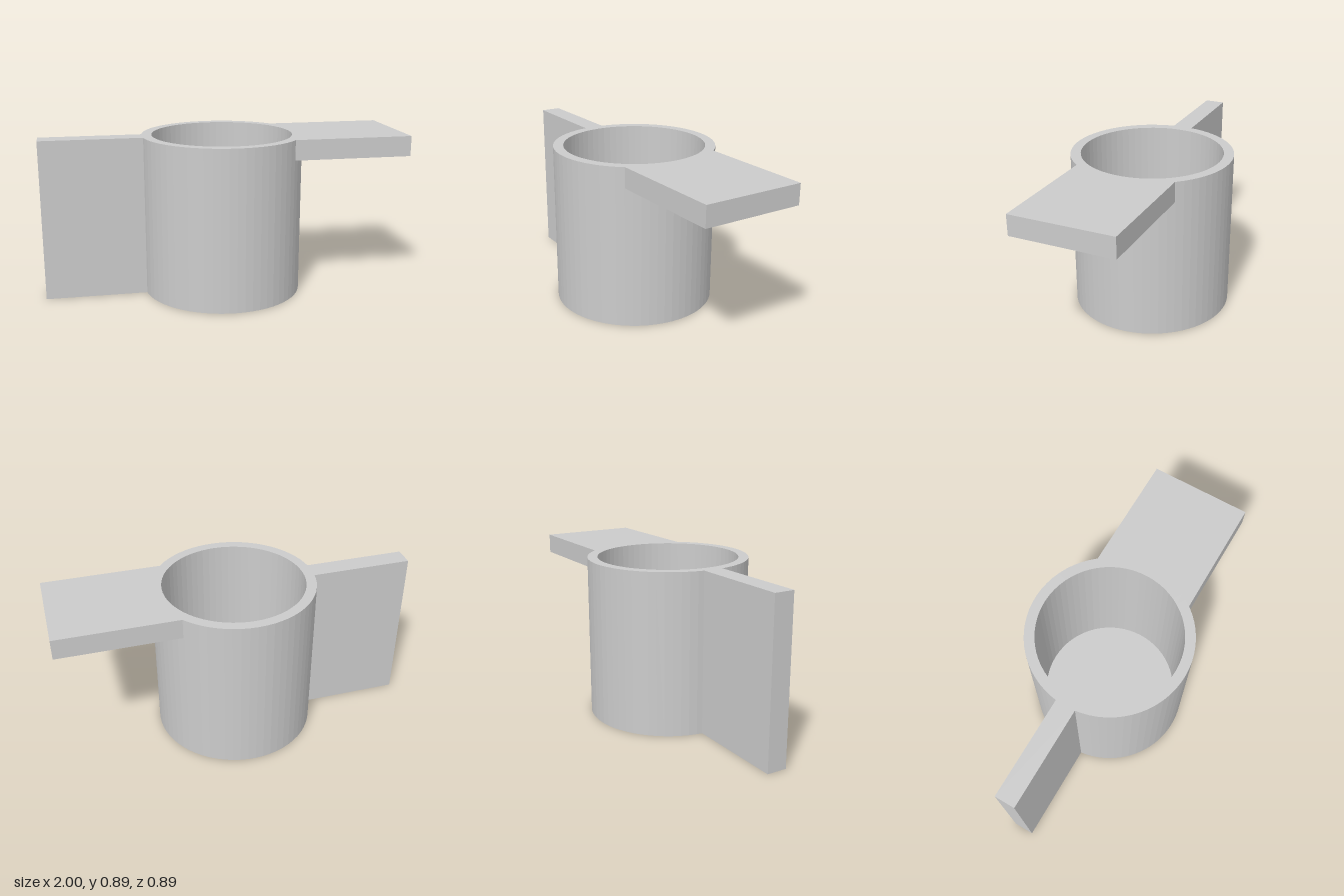
import * as THREE from 'three';

const U = 1 / 18; // wall thickness, the module of all sizes
const R = 8 * U, H = 16 * U;

const material = new THREE.MeshStandardMaterial({ color: 0xcccccc, flatShading: true });

// Flat wing reaching from the curved cup wall out to x = 1
function wing(name, halfWidth, bottom) {
  const r = R - 0.002; // sunk slightly into the wall
  const a = Math.asin(halfWidth / r);
  const shape = new THREE.Shape();
  shape.moveTo(r * Math.cos(a), -halfWidth);
  shape.lineTo(1, -halfWidth);
  shape.lineTo(1, halfWidth);
  shape.lineTo(r * Math.cos(a), halfWidth);
  shape.absarc(0, 0, r, a, -a, true);
  const geometry = new THREE.ExtrudeGeometry(shape, {
    depth: H - bottom, bevelEnabled: false, curveSegments: 16,
  });
  geometry.rotateX(-Math.PI / 2);
  const mesh = new THREE.Mesh(geometry, material);
  mesh.position.y = bottom;
  mesh.name = name;
  return mesh;
}

export function createModel() {
  const model = new THREE.Group();
  model.name = 'cupWithWings';

  // Hollow cup with a closed floor
  const profile = [
    [0, 0], [R, 0], [R, H], [R - U, H], [R - U, U], [0, U],
  ].map(([x, y]) => new THREE.Vector2(x, y));
  const cup = new THREE.Mesh(new THREE.LatheGeometry(profile, 64), material);
  cup.name = 'cup';

  // Wide thin plate level with the rim
  const plate = wing('horizontalPlate', 5 * U, H - 2 * U);

  // Upright fin over the full height, on the opposite side
  const fin = wing('verticalFin', U, 0);
  fin.rotation.y = Math.PI;

  model.add(cup, plate, fin);
  return model;
}
